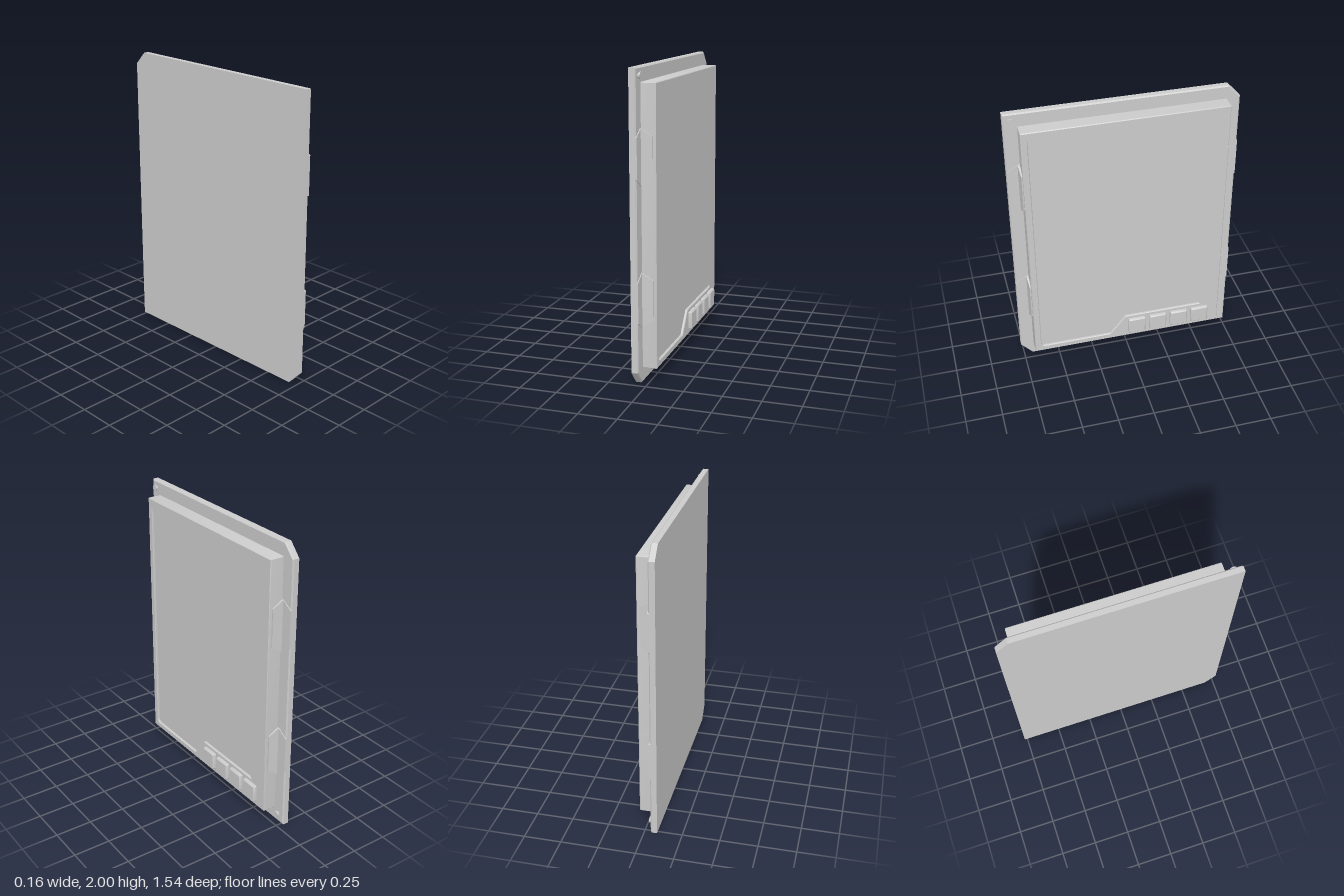
import * as THREE from 'three';
import { toCreasedNormals } from 'three/addons/utils/BufferGeometryUtils.js';

const material = new THREE.MeshStandardMaterial({ color: 0xcccccc });

function polygon(points) {
  return new THREE.Shape(points.map(([x, y]) => new THREE.Vector2(x, y)));
}

function rectangle(x0, y0, x1, y1, r) {
  const s = new THREE.Shape();
  s.moveTo(x0 + r, y0).lineTo(x1 - r, y0).quadraticCurveTo(x1, y0, x1, y0 + r);
  s.lineTo(x1, y1 - r).quadraticCurveTo(x1, y1, x1 - r, y1);
  s.lineTo(x0 + r, y1).quadraticCurveTo(x0, y1, x0, y1 - r);
  s.lineTo(x0, y0 + r).quadraticCurveTo(x0, y0, x0 + r, y0);
  return s;
}

// Slab from z0 to z1 with a bevelled front edge and a flat, square back
function slab(name, shape, z0, z1, bevel = 0) {
  const geo = new THREE.ExtrudeGeometry(shape, {
    depth: z1 - z0 - bevel, bevelEnabled: bevel > 0, bevelThickness: bevel,
    bevelSize: bevel, bevelOffset: -bevel, bevelSegments: 1, curveSegments: 6,
  });
  const p = geo.attributes.position;
  for (let i = 0; i < p.count; i++) p.setZ(i, Math.max(p.getZ(i), 0));
  geo.translate(0, 0, z0);
  const mesh = new THREE.Mesh(toCreasedNormals(geo, 0.5), material);
  mesh.name = name;
  return mesh;
}

// Folded clip: a flap on the plate and an upright wing leaning on the body
function createClip(side, y) {
  const clip = new THREE.Group();
  clip.name = 'sideClip';
  clip.add(slab('clipFlap',
    polygon([[0.68, -0.178], [0.695, -0.178], [0.77, -0.13], [0.77, 0.13], [0.695, 0.178], [0.68, 0.178]]),
    -0.052, -0.036));
  const wing = slab('clipWing',
    polygon([[0, -0.178], [0.074, -0.13], [0.074, 0.13], [0, 0.178]]), 0, 0.014);
  wing.position.set(0.697, 0, -0.04);
  wing.rotation.y = -(Math.PI / 2 + 0.12);
  clip.add(wing);
  clip.position.y = y;
  if (side < 0) clip.rotation.z = Math.PI;
  return clip;
}

// Small round-headed stud standing on the plate
function createStud(x, y) {
  const stud = new THREE.Group();
  stud.name = 'cornerStud';
  for (const [name, r, h, z] of [['studStem', 0.015, 0.012, -0.036], ['studHead', 0.022, 0.009, -0.028]]) {
    const part = new THREE.Mesh(new THREE.CylinderGeometry(r, r, h, 20), material);
    part.name = name;
    part.rotation.x = Math.PI / 2;
    part.position.z = z;
    stud.add(part);
  }
  stud.position.set(x, y, 0);
  return stud;
}

export function createModel() {
  const model = new THREE.Group();
  model.name = 'displayPanel';

  // Parts are laid out facing +z, then the panel is turned to face +x
  const panel = new THREE.Group();
  panel.name = 'panel';
  panel.rotation.y = Math.PI / 2;
  model.add(panel);

  // Back plate with two clipped corners
  panel.add(slab('backPlate',
    polygon([[-0.69, 0], [0.77, 0], [0.77, 1.915], [0.69, 2], [-0.77, 2], [-0.77, 0.09]]),
    -0.085, -0.041, 0.008));

  // Screen outline, stepped up at the lower right to clear the buttons
  const screen = () => {
    const s = new THREE.Shape();
    s.moveTo(-0.635, 0.165).quadraticCurveTo(-0.635, 0.138, -0.608, 0.138);
    s.lineTo(-0.13, 0.138).lineTo(-0.018, 0.28).lineTo(0.633, 0.28);
    s.lineTo(0.633, 1.835).quadraticCurveTo(0.633, 1.87, 0.598, 1.87);
    s.lineTo(-0.6, 1.87).quadraticCurveTo(-0.635, 1.87, -0.635, 1.835);
    s.closePath();
    return s;
  };

  // Raised housing framing the recessed screen
  const housing = rectangle(-0.68, 0.097, 0.68, 1.908, 0.006);
  housing.holes.push(screen());
  panel.add(slab('housing', housing, -0.045, 0.054, 0.005));
  panel.add(slab('screen', screen(), -0.045, 0.038));

  // Row of square buttons
  for (let i = 0; i < 4; i++) {
    const x = 0.002 + i * 0.1565;
    panel.add(slab('button', rectangle(x, 0.13, x + 0.127, 0.256, 0.012), 0.05, 0.078, 0.009));
  }

  // Two clips on each side
  for (const side of [-1, 1]) {
    for (const y of [0.55, 1.455]) panel.add(createClip(side, y));
  }

  // Studs at opposite corners
  panel.add(createStud(-0.72, 1.95), createStud(0.715, 0.063));

  return model;
}
